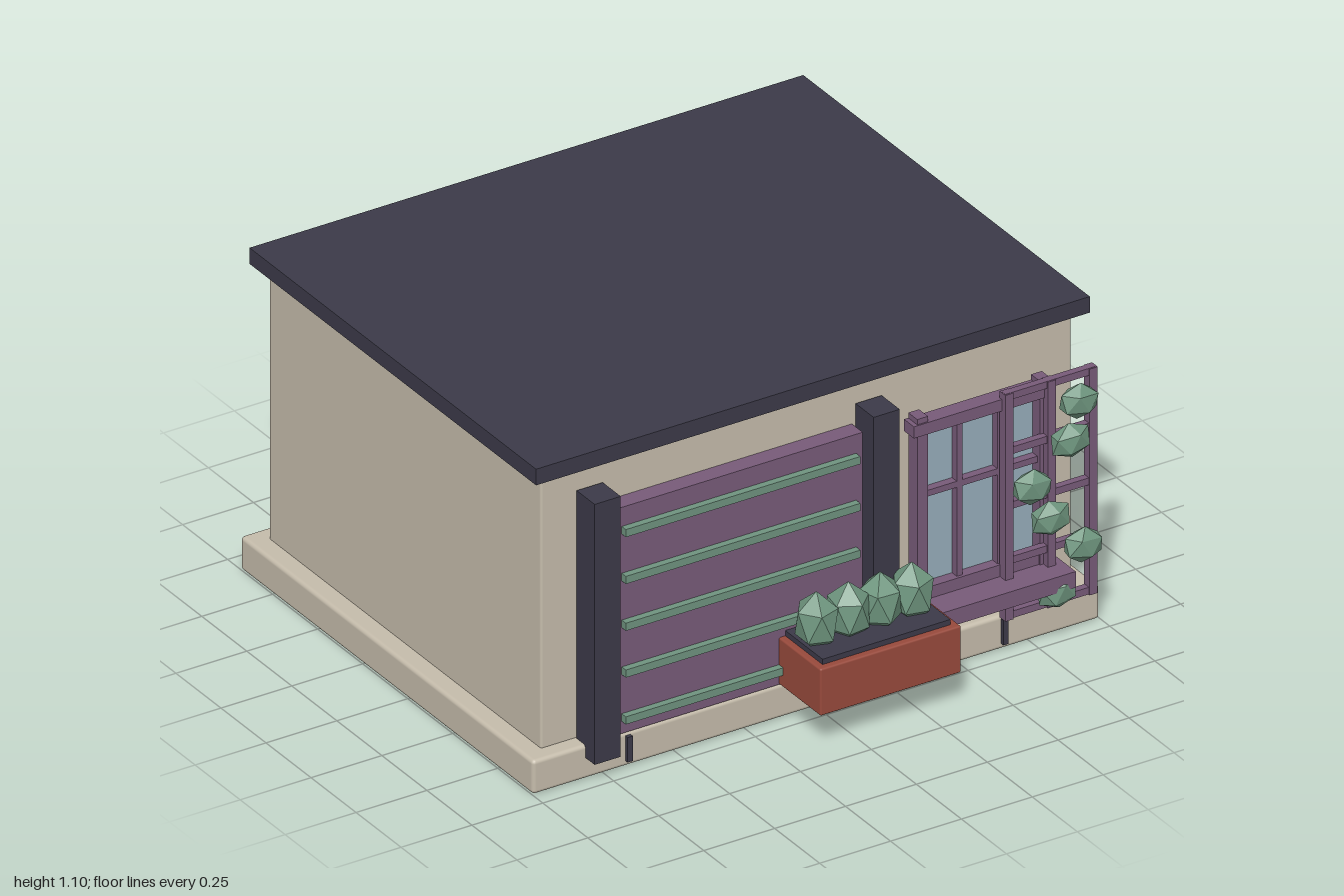
import * as THREE from 'three';
import { RoundedBoxGeometry } from 'three/addons/geometries/RoundedBoxGeometry.js';

const mat = (name, color, flatShading = false) => {
  const m = new THREE.MeshStandardMaterial({ color, flatShading });
  m.name = name;
  return m;
};

export function createModel() {
  const plaster = mat('plaster', 0xc5bcab);
  const slate = mat('slate', 0x3c3a49);
  const plum = mat('plum paint', 0x785b79);
  const sage = mat('sage paint', 0x6f937f);
  const leaf = mat('leaf', 0x6f967f, true);
  const glass = mat('glass', 0x97adba);
  const clay = mat('terracotta', 0x984a3c);

  const root = new THREE.Group();
  root.name = 'gardenStudio';
  const group = (name) => {
    const g = new THREE.Group();
    g.name = name;
    root.add(g);
    return g;
  };

  // Box given by its extents on each axis; r rounds the edges
  const box = (parent, name, material, [x0, x1], [y0, y1], [z0, z1], r = 0) => {
    const size = [x1 - x0, y1 - y0, z1 - z0];
    const geo = r ? new RoundedBoxGeometry(...size, 2, r) : new THREE.BoxGeometry(...size);
    const mesh = new THREE.Mesh(geo, material);
    mesh.name = name;
    mesh.position.set((x0 + x1) / 2, (y0 + y1) / 2, (z0 + z1) / 2);
    parent.add(mesh);
    return mesh;
  };

  // Building shell
  box(root, 'plinth', plaster, [-1, 1], [0, 0.115], [-0.93, 0.695], 0.013);
  box(root, 'walls', plaster, [-0.937, 0.935], [0.11, 1.047], [-0.87, 0.64], 0.008);
  box(root, 'roof', slate, [-0.978, 0.975], [1.045, 1.1], [-0.913, 0.678]);
  for (const x of [-0.665, 0, 0.66])
    box(root, 'plinthJoint', slate, [x - 0.009, x + 0.009], [0.02, 0.105], [0.68, 0.708]);

  // Entrance: two posts, a wide door and its slats
  const entrance = group('entrance');
  for (const x of [-0.768, 0.216])
    box(entrance, 'post', slate, [x - 0.046, x + 0.046], [0.072, 0.962], [0.645, 0.745]);
  box(entrance, 'door', plum, [-0.71, 0.16], [0.12, 0.893], [0.63, 0.7]);
  for (let i = 0; i < 5; i++) {
    const y = 0.175 + i * 0.16;
    box(entrance, 'doorSlat', sage, [-0.69, 0.137], [y - 0.013, y + 0.013], [0.69, 0.723]);
  }

  // Window: pane, frame, glazing bars and sill
  const win = group('window');
  box(win, 'pane', glass, [0.36, 0.79], [0.26, 0.85], [0.63, 0.673]);
  for (const x of [0.362, 0.795])
    box(win, 'jamb', plum, [x - 0.019, x + 0.019], [0.23, 0.888], [0.665, 0.715]);
  box(win, 'head', plum, [0.328, 0.828], [0.83, 0.87], [0.665, 0.72]);
  box(win, 'bottomRail', plum, [0.345, 0.81], [0.255, 0.3], [0.665, 0.71]);
  for (const x of [0.502, 0.645])
    box(win, 'glazingBar', plum, [x - 0.01, x + 0.01], [0.28, 0.85], [0.665, 0.7]);
  box(win, 'crossBar', plum, [0.36, 0.79], [0.604, 0.625], [0.665, 0.7]);
  box(win, 'sill', plum, [0.32, 0.845], [0.205, 0.26], [0.64, 0.805]);

  // Trellis
  const trellis = group('trellis');
  for (const x of [0.652, 0.802, 0.949])
    box(trellis, 'trellisUpright', plum, [x - 0.014, x + 0.014], [0.12, 0.893], [0.708, 0.74]);
  for (let i = 0; i < 5; i++) {
    const y = 0.134 + i * 0.187;
    box(trellis, 'trellisRail', plum, [0.64, 0.963], [y - 0.012, y + 0.012], [0.712, 0.736]);
  }

  // Faceted leaf clump with a vertex pointing up
  const clumpGeo = new THREE.IcosahedronGeometry(1, 0).rotateZ(Math.atan(2 / (1 + Math.sqrt(5))));
  const clump = (parent, name, pos, scale, tilt = 0, turn = 0) => {
    const mesh = new THREE.Mesh(clumpGeo.clone().rotateY(turn), leaf);
    mesh.name = name;
    mesh.position.set(...pos);
    mesh.scale.set(...scale);
    mesh.rotation.z = tilt;
    parent.add(mesh);
  };

  // Climbing plant on the trellis
  [[0.875, 0.82], [0.845, 0.695], [0.71, 0.575], [0.775, 0.45], [0.89, 0.325], [0.798, 0.195]]
    .forEach(([x, y], i) =>
      clump(trellis, 'vineLeaf', [x, y, 0.775], [0.073, 0.06, 0.041], i % 2 ? 0.12 : -0.12, i * 0.6));

  // Planter with soil and four shrubs
  const planter = group('planter');
  box(planter, 'planterBox', clay, [-0.135, 0.362], [0.12, 0.28], [0.66, 0.93], 0.006);
  box(planter, 'soil', slate, [-0.113, 0.338], [0.26, 0.298], [0.69, 0.907]);
  for (let i = 0; i < 4; i++)
    clump(planter, 'shrub', [-0.06 + i * 0.112, 0.357, 0.79], [0.073, 0.102, 0.073], 0, i * 0.45);

  return root;
}
